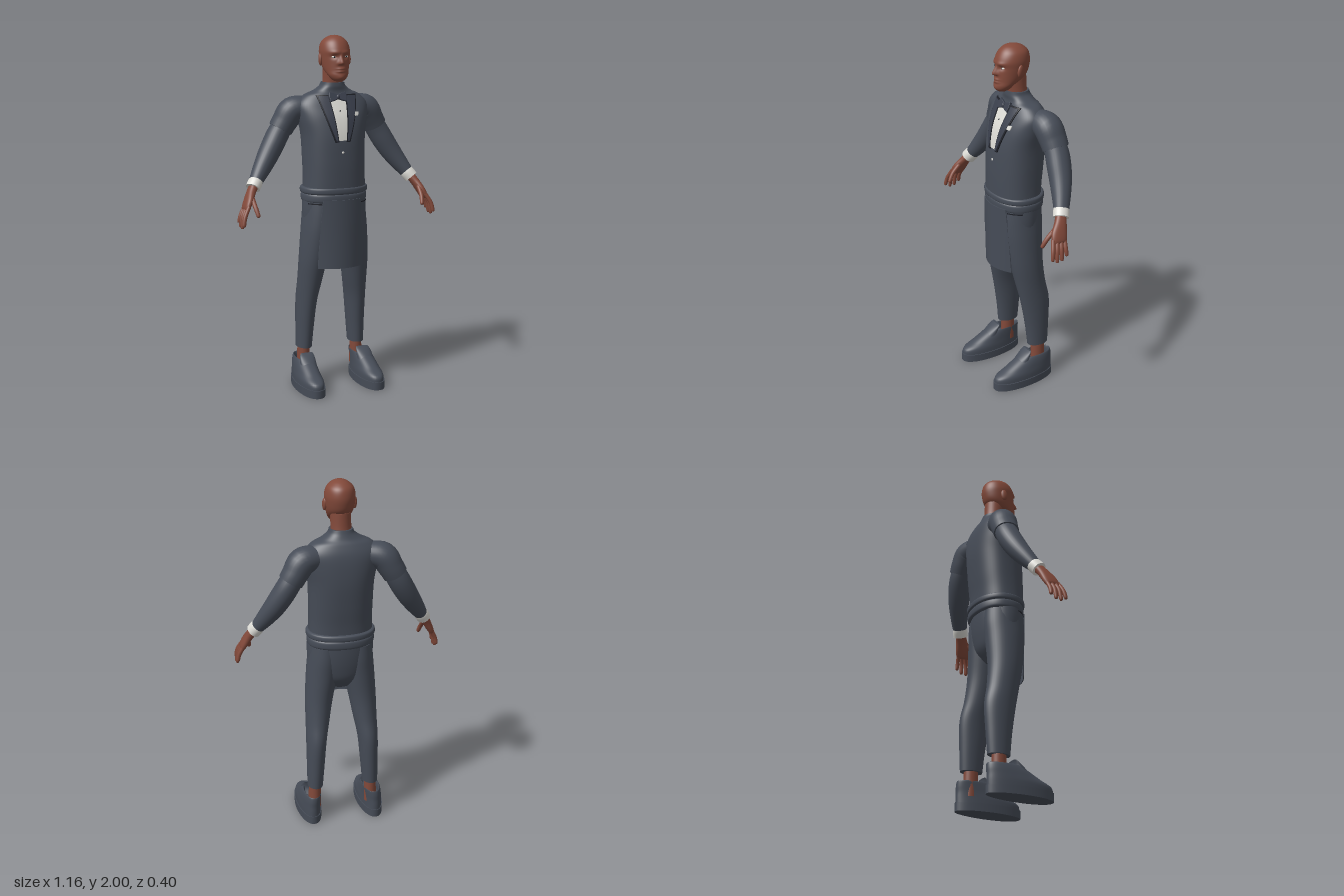
import * as THREE from 'three';
import { toCreasedNormals } from 'three/addons/utils/BufferGeometryUtils.js';

const mat = (name, color, side = THREE.FrontSide) => {
  const m = new THREE.MeshStandardMaterial({ color, side });
  m.name = name;
  return m;
};

// Catmull-Rom through the rows, column by column
function sample(rows, sub) {
  const out = [], last = rows.length - 1, at = i => rows[Math.max(0, Math.min(last, i))];
  for (let i = 0; i < last; i++) {
    for (let k = 0; k < sub; k++) {
      const t = k / sub;
      out.push(rows[0].map((_, c) => {
        const [a, b, d, e] = [at(i - 1)[c], at(i)[c], at(i + 1)[c], at(i + 2)[c]];
        return b + 0.5 * t * (d - a + t * (2 * a - 5 * b + 4 * d - e + t * (3 * (b - d) + e - a)));
      }));
    }
  }
  out.push(rows[last]);
  return out;
}

const spow = (v, p) => Math.sign(v) * Math.abs(v) ** p;

// Skin over rows [x, y, z, radiusAcross, radiusDeep]: level rings, or rings square to the path
function loft(rows, { seg = 32, sub = 5, n = 2, path = false, shape = null } = {}) {
  const rings = sample(rows, sub), pos = [], idx = [];
  const centres = rings.map(r => new THREE.Vector3(r[0], r[1], r[2]));
  const last = rings.length - 1, p = new THREE.Vector3();
  const ring = i => {
    const T = new THREE.Vector3(0, 1, 0);
    if (path) T.subVectors(centres[Math.min(last, i + 1)], centres[Math.max(0, i - 1)]).normalize();
    const d = new THREE.Vector3(0, 0, 1).addScaledVector(T, -T.z).normalize();
    const a = new THREE.Vector3().crossVectors(T, d);
    for (let j = 0; j < seg; j++) {
      const t = j / seg * Math.PI * 2;
      p.copy(centres[i]).addScaledVector(a, rings[i][3] * spow(Math.cos(t), 2 / n))
        .addScaledVector(d, rings[i][4] * spow(Math.sin(t), 2 / n));
      if (shape) shape(p, centres[i]);
      pos.push(p.x, p.y, p.z);
    }
  };
  for (let i = 0; i <= last; i++) ring(i);
  for (let i = 0; i < last; i++) for (let j = 0; j < seg; j++) {
    const k = (j + 1) % seg, a = i * seg + j, b = i * seg + k;
    idx.push(a, a + seg, b, b, a + seg, b + seg);
  }
  // flat end caps
  for (const [i, flip] of [[0, false], [last, true]]) {
    const base = pos.length / 3;
    ring(i);
    pos.push(...centres[i].toArray());
    for (let j = 0; j < seg; j++) {
      const k = (j + 1) % seg;
      idx.push(base + seg, base + (flip ? k : j), base + (flip ? j : k));
    }
  }
  const g = new THREE.BufferGeometry();
  g.setAttribute('position', new THREE.Float32BufferAttribute(pos, 3));
  g.setIndex(idx);
  g.computeVertexNormals();
  return g;
}

// Thin plate following surface(x, y), rows [y, x0, x1] from bottom to top, edges folded back
function plate(rows, surface, lift, s = 1, nx = 10, sub = 6) {
  const r = sample(rows, sub), ny = r.length - 1, pos = [], idx = [], w = nx + 3;
  for (let j = -1; j <= ny + 1; j++) for (let i = -1; i <= nx + 1; i++) {
    const row = r[Math.max(0, Math.min(ny, j))], t = Math.max(0, Math.min(nx, i)) / nx;
    const lo = Math.min(s * row[1], s * row[2]), hi = Math.max(s * row[1], s * row[2]);
    const x = lo + (hi - lo) * t, edge = i < 0 || j < 0 || i > nx || j > ny;
    pos.push(x, row[0], surface(x, row[0]) + (edge ? 0 : lift));
  }
  for (let j = 0; j < ny + 2; j++) for (let i = 0; i < w - 1; i++) {
    const a = j * w + i;
    idx.push(a, a + 1, a + w, a + 1, a + w + 1, a + w);
  }
  const g = new THREE.BufferGeometry();
  g.setAttribute('position', new THREE.Float32BufferAttribute(pos, 3));
  g.setIndex(idx);
  return toCreasedNormals(g, 0.7);
}

// Height of the front surface of a level loft
const frontOf = (rows, n) => {
  const r = sample(rows, 8);
  return (x, y) => {
    let i = 0;
    while (i < r.length - 2 && r[i + 1][1] < y) i++;
    const t = THREE.MathUtils.clamp((y - r[i][1]) / (r[i + 1][1] - r[i][1]), 0, 1);
    const [, , z, rx, rz] = r[i].map((v, c) => v + (r[i + 1][c] - v) * t);
    return z + rz * Math.max(0, 1 - Math.abs(x / rx) ** n) ** (1 / n);
  };
};

// Nose, brow, eye sockets, lips and chin pushed out of the front of the head
const bell = (v, c, w) => Math.exp(-(((v - c) / w) ** 2));
const face = p => {
  if (p.z < 0) return;
  const { x, y } = p, ax = Math.abs(x), ss = THREE.MathUtils.smoothstep;
  const nose = ss(1.905 - y, 0, 0.05) * ss(y, 1.838, 1.85);
  p.z += 0.026 * nose * bell(x, 0, 0.008 + 0.007 * ss(1.88 - y, 0, 0.03))
    + 0.005 * bell(y, 1.908, 0.01) * bell(ax, 0.03, 0.03)
    - 0.009 * bell(y, 1.885, 0.012) * bell(ax, 0.034, 0.016)
    + 0.007 * bell(x, 0, 0.022) * (bell(y, 1.82, 0.006) + bell(y, 1.806, 0.006))
    + 0.004 * bell(x, 0, 0.02) * bell(y, 1.775, 0.014);
};

export function createModel() {
  const suit = mat('suit cloth', 0x464c57, THREE.DoubleSide), skin = mat('skin', 0x82493a);
  const linen = mat('white linen', 0xdcdbd5), satin = mat('satin', 0x3a3f4c), trim = mat('dark trim', 0x1d1f26);
  const model = new THREE.Group();
  const add = (name, geo, m, x = 0, y = 0, z = 0) => {
    const mesh = new THREE.Mesh(geo, m);
    mesh.name = name;
    mesh.position.set(x, y, z);
    model.add(mesh);
    return mesh;
  };
  const ball = (name, m, x, y, z, sx, sy, sz) => {
    const b = add(name, new THREE.SphereGeometry(1, 20, 14), m, x, y, z);
    b.scale.set(sx, sy, sz);
    return b;
  };

  // Head and neck
  add('head', loft([[0, 1.752, 0.03, 0.025, 0.025], [0, 1.765, 0.025, 0.042, 0.045], [0, 1.785, 0.018, 0.056, 0.055],
    [0, 1.81, -0.006, 0.067, 0.075], [0, 1.84, -0.023, 0.075, 0.091], [0, 1.88, -0.031, 0.081, 0.097],
    [0, 1.92, -0.033, 0.083, 0.098], [0, 1.96, -0.037, 0.072, 0.083], [0, 1.985, -0.035, 0.047, 0.056],
    [0, 1.997, -0.034, 0.021, 0.026], [0, 2, -0.034, 0.001, 0.001]], { seg: 96, sub: 8, shape: face }), skin);
  add('neck', loft([[0, 1.68, -0.068, 0.062, 0.06], [0, 1.75, -0.06, 0.056, 0.056], [0, 1.83, -0.052, 0.056, 0.06]]), skin);

  // Jacket body with collar
  const torso = [[0, 1.14, -0.04, 0.178, 0.134], [0, 1.22, -0.042, 0.176, 0.137], [0, 1.32, -0.048, 0.177, 0.142],
    [0, 1.45, -0.057, 0.182, 0.143], [0, 1.55, -0.067, 0.2, 0.13], [0, 1.62, -0.077, 0.206, 0.108],
    [0, 1.67, -0.078, 0.165, 0.085], [0, 1.695, -0.072, 0.11, 0.073], [0, 1.72, -0.065, 0.074, 0.068],
    [0, 1.742, -0.062, 0.064, 0.063]];
  add('jacketBody', loft(torso, { seg: 56, n: 2.3, sub: 6 }), suit);
  const chest = frontOf(torso, 2.3);
  add('shirtFront', plate([[1.43, -0.03, 0.03], [1.55, -0.043, 0.043], [1.672, -0.058, 0.058]], chest, 0.004), linen);
  add('pocketSquare', plate([[1.56, 0.085, 0.108], [1.582, 0.087, 0.113]], chest, 0.006), linen);
  ball('jacketButton', linen, 0, 1.365, chest(0, 1.365) + 0.002, 0.007, 0.007, 0.004);
  ball('shirtStud', trim, 0, 1.59, chest(0, 1.59) + 0.005, 0.004, 0.004, 0.003);

  // Bow tie
  const bow = new THREE.Shape([[0, 0.009], [0.02, 0.018], [0.046, 0.025], [0.05, 0], [0.046, -0.025], [0.02, -0.018],
    [0, -0.009], [-0.02, -0.018], [-0.046, -0.025], [-0.05, 0], [-0.046, 0.025], [-0.02, 0.018]]
    .map(([x, y]) => new THREE.Vector2(x, y)));
  const tie = new THREE.ExtrudeGeometry(bow, { depth: 0.012, bevelSize: 0.003, bevelThickness: 0.003, bevelSegments: 2 });
  add('bowTie', tie, satin, 0, 1.661, 0.01).rotation.x = -0.45;
  ball('bowTieKnot', satin, 0, 1.664, 0.024, 0.011, 0.014, 0.009);

  // Waistband: two soft rolls
  for (const [y, r, h] of [[1.148, 0.192, 0.019], [1.107, 0.187, 0.026]]) {
    add('waistband', loft([[0, y - h, -0.045, r - 0.01, r - 0.055], [0, y - h * 0.6, -0.046, r, r - 0.045],
      [0, y + h * 0.6, -0.046, r, r - 0.045], [0, y + h, -0.045, r - 0.01, r - 0.055]], { seg: 56, n: 2.2 }), suit);
  }

  // Hips and apron panel
  const hips = [[0, 0.82, -0.045, 0.06, 0.05], [0, 0.88, -0.042, 0.14, 0.1], [0, 0.95, -0.039, 0.178, 0.122],
    [0, 1.03, -0.039, 0.187, 0.132], [0, 1.12, -0.039, 0.185, 0.135]];
  add('hips', loft(hips, { seg: 48 }), suit);
  const hang = (x, y) => 0.1 - (2 + 1.5 * (1.1 - y)) * x * x;
  add('apron', plate([[0.712, -0.136, 0.136], [0.85, -0.13, 0.13], [0.98, -0.122, 0.122], [1.1, -0.112, 0.112]], hang, 0.005, 1, 20), suit);

  for (const s of [1, -1]) {
    const side = s > 0 ? 'left' : 'right';
    const mir = rows => rows.map(r => [s * r[0], ...r.slice(1)]);
    const part = (name, rows, m, o) => add(side + name, loft(mir(rows), o), m);
    const limb = { path: true, seg: 28 };

    // Eyes and ears
    ball(side + 'Eye', linen, s * 0.034, 1.885, 0.043, 0.014, 0.007, 0.011);
    ball(side + 'Iris', trim, s * 0.034, 1.885, 0.0515, 0.005, 0.0055, 0.0035);
    ball(side + 'Ear', skin, s * 0.083, 1.868, -0.033, 0.011, 0.034, 0.019).rotation.set(-0.15, s * 0.25, 0);

    // Lapel on its dark edging, and pocket slit
    add(side + 'LapelEdge', plate([[1.421, 0.022, 0.044], [1.55, 0.036, 0.086], [1.676, 0.05, 0.118]], chest, 0.006, s), trim);
    add(side + 'Lapel', plate([[1.428, 0.028, 0.038], [1.55, 0.042, 0.079], [1.67, 0.056, 0.11]], chest, 0.009, s), satin);
    add(side + 'PocketSlit', plate([[1.074, 0.115, 0.176], [1.08, 0.115, 0.176]], frontOf(hips, 2), 0.004, s), trim);

    // Jacket sleeve: full upper part over a narrower lower part
    part('UpperSleeve', [[0.15, 1.6, -0.1, 0.066, 0.07], [0.22, 1.585, -0.115, 0.077, 0.08],
      [0.262, 1.525, -0.124, 0.071, 0.077], [0.287, 1.483, -0.126, 0.068, 0.073]], suit, limb);
    part('LowerSleeve', [[0.26, 1.525, -0.124, 0.058, 0.063], [0.3, 1.46, -0.125, 0.062, 0.067],
      [0.335, 1.4, -0.116, 0.062, 0.067], [0.375, 1.335, -0.1, 0.058, 0.061], [0.42, 1.268, -0.075, 0.049, 0.051],
      [0.462, 1.208, -0.048, 0.037, 0.041]], suit, limb);
    part('Cuff', [[0.45, 1.224, -0.056, 0.036, 0.04], [0.464, 1.205, -0.046, 0.04, 0.044],
      [0.482, 1.18, -0.033, 0.04, 0.044]], linen, limb);

    // Hand, fingers and thumb
    part('Palm', [[0.465, 1.205, -0.045, 0.025, 0.029], [0.497, 1.158, -0.02, 0.023, 0.034],
      [0.522, 1.112, 0.003, 0.021, 0.045], [0.538, 1.08, 0.014, 0.017, 0.044], [0.545, 1.066, 0.016, 0.009, 0.038]], skin, { ...limb, n: 2.3 });
    const digit = (name, a, b, c, r) => {
      const tip = c.map((v, i) => v + (v - b[i]) * 0.13);
      part(name, [[...a, r, r], [...b, r, r], [...c, r * 0.85, r * 0.85], [...tip, r * 0.2, r * 0.2]], skin, { path: true, seg: 14 });
    };
    [[0.05, 0.076, 0.995], [0.026, 0.047, 0.981], [0.002, 0.017, 0.984], [-0.02, -0.013, 1.002]].forEach(([z0, z1, y]) =>
      digit('Finger', [0.533, 1.09, z0], [0.56, 1.04, (z0 + z1) / 2 + 0.004], [0.57, y, z1], 0.0115));
    digit('Thumb', [0.503, 1.14, 0.01], [0.5, 1.09, 0.062], [0.492, 1.045, 0.09], 0.0125);

    // Trouser leg and ankle
    part('TrouserLeg', [[0.162, 0.22, -0.108, 0.044, 0.064], [0.157, 0.35, -0.105, 0.05, 0.075], [0.15, 0.5, -0.095, 0.057, 0.09],
      [0.138, 0.62, -0.071, 0.067, 0.092], [0.125, 0.75, -0.051, 0.078, 0.1], [0.105, 0.9, -0.042, 0.089, 0.113],
      [0.095, 1.0, -0.042, 0.09, 0.118], [0.09, 1.08, -0.042, 0.088, 0.115]], suit, { seg: 36 });
    part('Ankle', [[0.166, 0.08, -0.108, 0.036, 0.043], [0.164, 0.24, -0.108, 0.034, 0.039]], skin);

    // Shoe: sole, sloping upper with a sunk opening, tongue
    const taper = (p, c) => { if (p.z < 0) p.x = c.x + (p.x - c.x) * (1 + 0.8 * p.z); };
    const shoe = { seg: 48, n: 2.3, shape: taper };
    part('Sole', [[0.183, 0, 0.005, 0.071, 0.194], [0.183, 0.046, 0.005, 0.072, 0.195]], suit, shoe);
    part('ShoeUpper', [[0.183, 0.04, 0.004, 0.067, 0.19], [0.183, 0.075, 0, 0.066, 0.186], [0.182, 0.105, -0.03, 0.062, 0.155],
      [0.18, 0.135, -0.058, 0.058, 0.128], [0.177, 0.16, -0.08, 0.053, 0.104], [0.175, 0.166, -0.085, 0.048, 0.095],
      [0.174, 0.15, -0.088, 0.044, 0.085], [0.174, 0.12, -0.09, 0.042, 0.08]], suit, shoe);
    part('ShoeTongue', [[0.178, 0.12, 0.01, 0.05, 0.065], [0.177, 0.155, -0.002, 0.047, 0.036],
      [0.175, 0.182, -0.02, 0.043, 0.018], [0.174, 0.197, -0.034, 0.036, 0.007]], suit);
  }
  return model;
}
